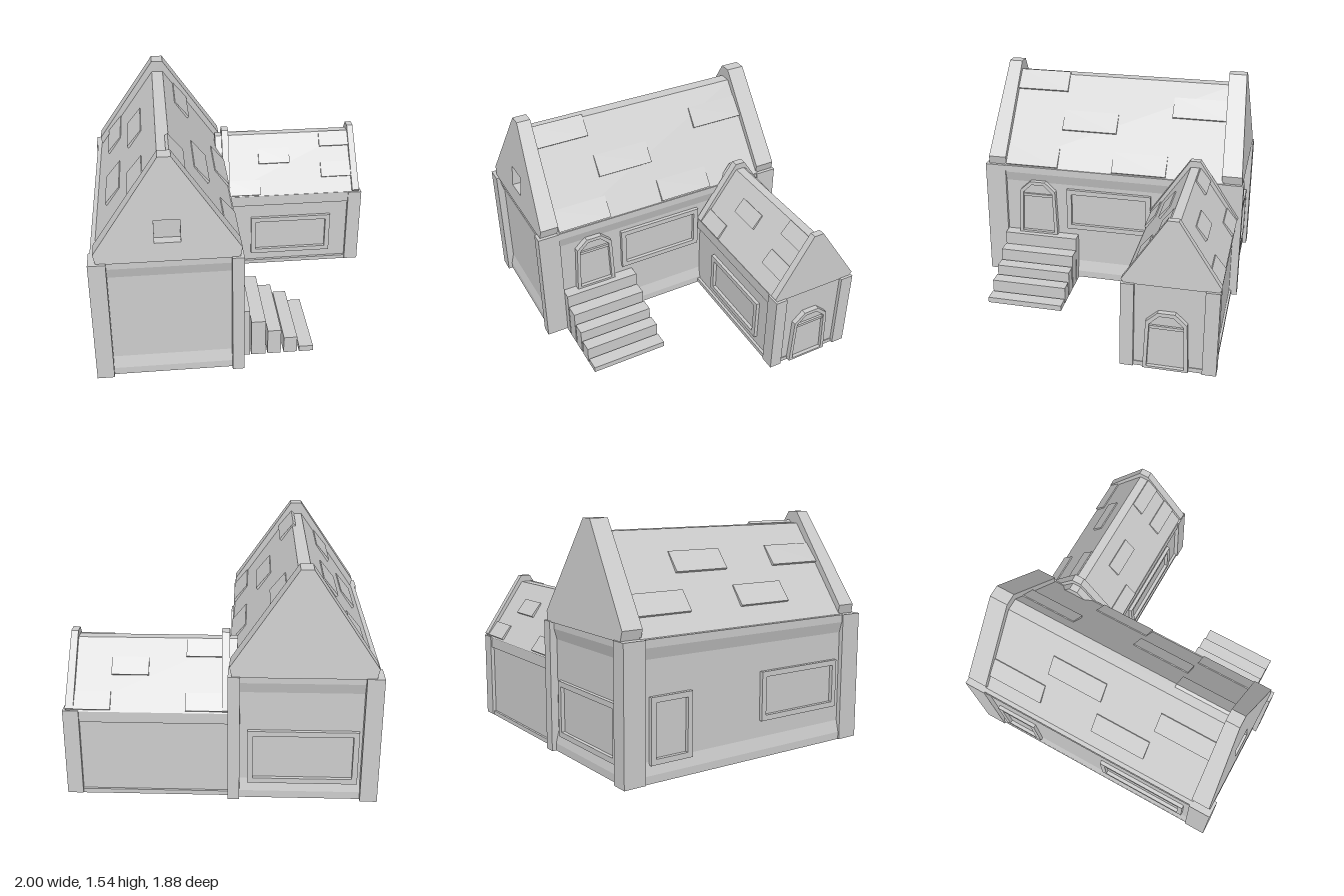
import * as THREE from 'three';

const stone = new THREE.MeshStandardMaterial({ color: 0xcccccc });
stone.name = 'pale grey';

function add(parent, name, geo) {
  const m = new THREE.Mesh(geo, stone);
  m.name = name;
  parent.add(m);
  return m;
}

// Box given by its limits
function box(parent, name, x0, x1, y0, y1, z0, z1) {
  const m = add(parent, name, new THREE.BoxGeometry(x1 - x0, y1 - y0, z1 - z0));
  m.position.set((x0 + x1) / 2, (y0 + y1) / 2, (z0 + z1) / 2);
  return m;
}

// Box whose top (or bottom) is drawn in, for sloping ledges
function ledge(parent, name, x0, x1, y0, y1, z0, z1, inset, atTop) {
  const m = box(parent, name, x0, x1, y0, y1, z0, z1);
  const p = m.geometry.attributes.position;
  for (let i = 0; i < p.count; i++) {
    if ((p.getY(i) > 0) !== atTop) continue;
    p.setX(i, p.getX(i) - Math.sign(p.getX(i)) * inset);
    p.setZ(i, p.getZ(i) - Math.sign(p.getZ(i)) * inset);
  }
  m.geometry.computeVertexNormals();
}

const outline = (pts) => new THREE.Shape(pts.map(([x, y]) => new THREE.Vector2(x, y)));
const mirrored = (half) => [...half, ...half.map(([x, y]) => [-x, y]).reverse()];
const rect = (w, h, y = 0) => [[-w / 2, y], [w / 2, y], [w / 2, y + h], [-w / 2, y + h]];
const extrude = (shape, depth) => new THREE.ExtrudeGeometry(shape, { depth, bevelEnabled: false });

// Leaning gable wall; back and front faces each run from a bottom to a top depth
function gable(parent, name, half, back, front, hole) {
  const shape = outline(mirrored(half));
  if (hole) shape.holes.push(outline(hole));
  const geo = extrude(shape, 1);
  const p = geo.attributes.position;
  const low = half[0][1], high = half[half.length - 1][1];
  for (let i = 0; i < p.count; i++) {
    const t = (p.getY(i) - low) / (high - low);
    const [a, b] = p.getZ(i) > 0.5 ? front : back;
    p.setZ(i, a + (b - a) * t);
  }
  geo.computeVertexNormals();
  add(parent, name, geo);
}

// Flat-ridged roof along z, with raised tiles [side, lowY, z0, z1]
function roof(parent, r, tiles) {
  const geo = extrude(outline(mirrored([[r.eave, r.low], [r.ridge, r.high]])), r.z1 - r.z0);
  add(parent, 'roof', geo).position.z = r.z0;
  const run = (r.eave - r.ridge) / (r.high - r.low);
  const angle = Math.atan(1 / run);
  for (const [s, y, z0, z1] of tiles) {
    const mid = y + r.tile / 2;
    const len = r.tile / Math.sin(angle);
    const m = add(parent, 'roofTile', new THREE.BoxGeometry(len, 0.024, z1 - z0));
    m.position.set(s * (r.eave - (mid - r.low) * run), mid, (z0 + z1) / 2);
    m.rotation.z = -s * (angle - 0.07);
  }
}

// Window frame standing on its own base line, facing local +z
function windowFrame(parent, w, h, x, y, z, turn) {
  const shape = outline(rect(w, h));
  shape.holes.push(outline(rect(w - 0.07, h - 0.07, 0.035)));
  const m = add(parent, 'windowFrame', extrude(shape, 0.025));
  m.position.set(x, y, z);
  m.rotation.y = turn;
}

// Arched door facing +x
function door(parent, x, y, z) {
  const g = new THREE.Group();
  g.name = 'door';
  const shape = outline(mirrored([[0.145, 0], [0.13, 0.34], [0.055, 0.41]]));
  shape.holes.push(outline(mirrored([[0.12, 0.015], [0.108, 0.325], [0.045, 0.385]])));
  add(g, 'doorFrame', extrude(shape, 0.045));
  add(g, 'doorLeaf', extrude(outline(mirrored([[0.13, 0], [0.115, 0.33], [0.05, 0.395]])), 0.02));
  const bar = add(g, 'doorLintel', new THREE.BoxGeometry(0.225, 0.02, 0.03));
  bar.position.set(0, 0.3, 0.02);
  g.position.set(x, y, z);
  g.rotation.y = Math.PI / 2;
  parent.add(g);
}

export function createModel() {
  const model = new THREE.Group();
  model.name = 'house';

  // Main hall walls with base and top ledges
  const hall = new THREE.Group();
  hall.name = 'mainHall';
  model.add(hall);
  box(hall, 'walls', -0.97, -0.07, 0.01, 0.87, -0.89, 0.89);
  box(hall, 'plinth', -0.99, -0.05, 0.01, 0.06, -0.91, 0.91);
  ledge(hall, 'plinthSlope', -0.99, -0.05, 0.06, 0.14, -0.91, 0.91, 0.02, true);
  ledge(hall, 'corniceSlope', -0.99, -0.05, 0.75, 0.82, -0.91, 0.91, 0.02, false);
  box(hall, 'cornice', -0.99, -0.05, 0.82, 0.87, -0.91, 0.91);
  for (const s of [-1, 1]) {
    const a = s * 0.79, b = s * 0.94;
    box(hall, 'cornerPost', -1, -0.89, 0.01, 0.87, Math.min(a, b), Math.max(a, b));
    box(hall, 'cornerPost', -0.12, -0.045, 0.01, 0.87, Math.min(a, b), Math.max(a, b));
  }

  // Main roof and gables
  const hallTop = new THREE.Group();
  hallTop.name = 'mainRoof';
  hallTop.position.x = -0.51;
  model.add(hallTop);
  roof(hallTop, { eave: 0.455, ridge: 0.04, low: 0.865, high: 1.46, z0: -0.8, z1: 0.8, tile: 0.125 }, [
    [1, 1.35, 0.4, 0.785], [1, 1.11, 0, 0.4], [1, 0.875, 0.4, 0.785],
    [1, 0.875, -0.39, 0], [1, 1.235, -0.785, -0.39],
    [-1, 1.2, 0.39, 0.785], [-1, 0.98, 0, 0.39],
    [-1, 1.2, -0.39, 0], [-1, 0.98, -0.785, -0.39],
  ]);
  const hallGable = [[0.44, 0.865], [0.455, 0.93], [0.04, 1.54]];
  gable(hallTop, 'frontGable', hallGable, [0.79, 0.77], [0.92, 0.865], rect(0.16, 0.15, 0.99));
  gable(hallTop, 'backGable', hallGable, [-0.93, -0.885], [-0.79, -0.76]);
  box(hallTop, 'gableWindowPane', -0.09, 0.09, 0.98, 1.15, 0.8, 0.845);

  // Main hall windows and door
  windowFrame(hall, 0.62, 0.31, -0.07, 0.41, 0.02, Math.PI / 2);
  windowFrame(hall, 0.65, 0.32, -0.97, 0.25, 0.42, -Math.PI / 2);
  windowFrame(hall, 0.3, 0.41, -0.97, 0.12, -0.6, -Math.PI / 2);
  windowFrame(hall, 0.7, 0.37, -0.52, 0.12, -0.89, Math.PI);
  door(hall, -0.075, 0.355, 0.545);

  // Front steps
  const steps = [[-0.07, 0.01, 0.355], [0.02, 0.115, 0.265], [0.13, 0.22, 0.185], [0.24, 0.33, 0.12], [0.345, 0.44, 0.04]];
  for (const [x0, x1, h] of steps) box(model, 'step', x0, x1, 0, h, 0.25, 0.79);

  // Side wing walls
  const wing = new THREE.Group();
  wing.name = 'sideWing';
  model.add(wing);
  box(wing, 'wingWalls', -0.08, 0.965, 0.02, 0.61, -0.885, -0.325);
  box(wing, 'wingPlinth', -0.08, 0.97, 0.015, 0.045, -0.9, -0.305);
  box(wing, 'wingCornice', -0.08, 0.965, 0.53, 0.61, -0.9, -0.305);
  for (const [z0, z1] of [[-0.38, -0.295], [-0.91, -0.82]]) {
    box(wing, 'wingPost', 0.89, 0.99, 0.02, 0.61, z0, z1);
  }
  windowFrame(wing, 0.61, 0.31, 0.455, 0.11, -0.326, 0);
  door(wing, 0.955, 0.025, -0.588);

  // Wing roof and gables, ridge turned to run along x
  const wingTop = new THREE.Group();
  wingTop.name = 'wingRoof';
  wingTop.position.z = -0.605;
  wingTop.rotation.y = Math.PI / 2;
  model.add(wingTop);
  roof(wingTop, { eave: 0.3, ridge: 0.03, low: 0.605, high: 1.0, z0: -0.1, z1: 0.94, tile: 0.095 }, [
    [-1, 0.615, -0.015, 0.22], [-1, 0.81, 0.22, 0.455], [-1, 0.905, 0.69, 0.92], [-1, 0.71, 0.69, 0.92],
    [1, 0.9, -0.015, 0.22], [1, 0.615, -0.015, 0.22], [1, 0.8, 0.455, 0.69], [1, 0.615, 0.69, 0.92],
  ]);
  const wingGable = [[0.29, 0.605], [0.31, 0.63], [0.035, 1.045]];
  gable(wingTop, 'wingEndGable', wingGable, [0.92, 0.91], [0.972, 0.955]);
  gable(wingTop, 'wingInnerGable', wingGable, [-0.06, -0.05], [-0.01, 0]);

  return model;
}
